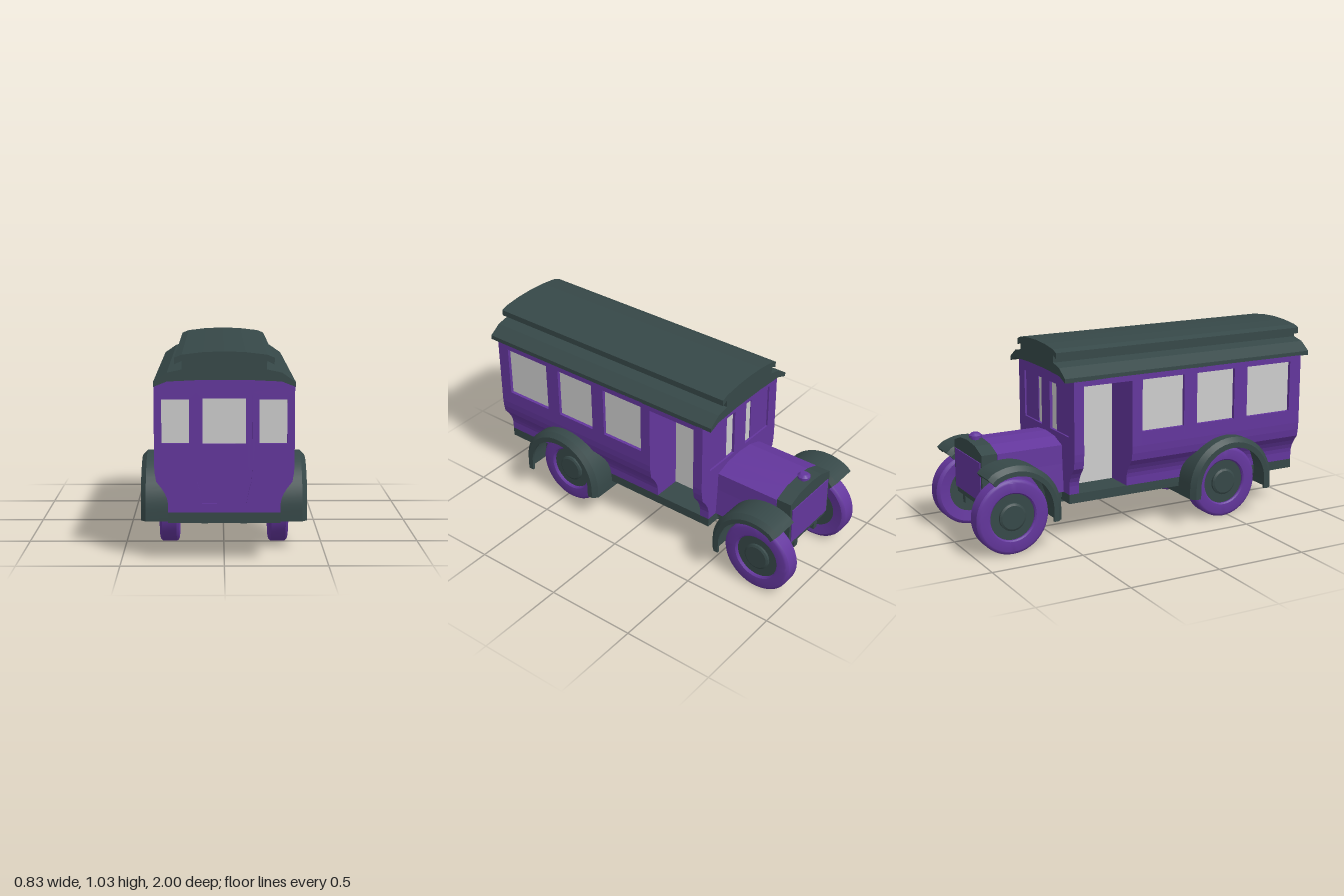
import * as THREE from 'three';
import { toCreasedNormals, mergeGeometries } from 'three/addons/utils/BufferGeometryUtils.js';

export function createModel() {
  const group = new THREE.Group();
  const mat = (name, color) => {
    const m = new THREE.MeshStandardMaterial({ color, side: THREE.DoubleSide });
    m.name = name;
    return m;
  };
  const purple = mat('purple paint', 0x63369c);
  const dark = mat('dark slate', 0x364848);
  const glass = mat('grey glass', 0xcccccc);

  const add = (name, geo, material) => {
    const mesh = new THREE.Mesh(geo, material);
    mesh.name = name;
    group.add(mesh);
    return mesh;
  };
  // Box given by its extents
  const box = (name, material, x0, x1, y0, y1, z0, z1) => {
    const g = new THREE.BoxGeometry(Math.abs(x1 - x0), y1 - y0, z1 - z0);
    g.translate((x0 + x1) / 2, (y0 + y1) / 2, (z0 + z1) / 2);
    return add(name, g, material);
  };
  const toPath = (pts, Type) => new Type(pts.map(([x, y]) => new THREE.Vector2(x, y)));
  // Prism with an x-y outline running from z0 to z1
  const prism = (pts, z0, z1, holes = []) => {
    const shape = toPath(pts, THREE.Shape);
    holes.forEach(h => shape.holes.push(toPath(h, THREE.Path)));
    const g = new THREE.ExtrudeGeometry(shape, { depth: z1 - z0, bevelEnabled: false });
    return g.translate(0, 0, z0);
  };
  // Full outline from its right half (bottom to top)
  const mirrored = half => [
    ...half, ...half.filter(p => p[0] > 0).reverse().map(([x, y]) => [-x, y])];
  const rect = (x0, x1, y0, y1) => [[x0, y0], [x1, y0], [x1, y1], [x0, y1]];

  // Body side profile, tucked in towards the floor
  const profile = [[0.27, 0.25], [0.27, 0.295], [0.274, 0.318], [0.284, 0.342],
    [0.3, 0.368], [0.325, 0.4], [0.332, 0.44], [0.335, 0.48], [0.335, 0.865]];
  const arch = [[0.27, 0.888], [0.1, 0.896], [0, 0.897]];
  const sideWall = (s, y0, y1, inset) => {
    const outer = profile.filter(([, y]) => y >= y0 && y <= y1);
    if (outer[0]?.[1] !== y0) outer.unshift([0.335, y0]);
    if (outer[outer.length - 1][1] !== y1) outer.push([0.335, y1]);
    const inner = outer.map(([x, y]) => [inset ?? x - 0.03, y]).reverse();
    return [...outer, ...inner].map(([x, y]) => [s * x, y]);
  };
  const windows = [[0.596, 0.88], [0.275, 0.513], [-0.06, 0.195]];
  const posts = [[0.88, 0.94], [0.513, 0.596], [0.195, 0.275]];
  for (const s of [1, -1]) {
    const parts = [];
    posts.forEach(([a, b]) => parts.push(prism(sideWall(s, 0.25, 0.865), a, b)));
    windows.forEach(([a, b]) => {
      parts.push(prism(sideWall(s, 0.25, 0.555), a, b));
      parts.push(prism(sideWall(s, 0.835, 0.865), a, b));
    });
    // Bulkheads either side of the open doorway, and its ceiling
    parts.push(prism(sideWall(s, 0.25, 0.865, 0.11), -0.12, -0.06));
    parts.push(prism(sideWall(s, 0.25, 0.865, 0.11), -0.45, -0.404));
    parts.push(prism(sideWall(s, 0.835, 0.865, 0.11), -0.404, -0.12));
    add('bodySide', mergeGeometries(parts), purple);
    box('sideGlass', glass, s * 0.307, s * 0.317, 0.54, 0.85, -0.08, 0.9);
    box('doorwayPanel', glass, s * 0.1, s * 0.11, 0.25, 0.84, -0.41, -0.11);
  }

  // End walls
  const endOutline = mirrored([...profile, ...arch]);
  const doorOutline = mirrored([[0.107, 0.296], [0.118, 0.36], [0.13, 0.4], [0.135, 0.48], [0.135, 0.83]]);
  add('rearWall', prism(endOutline, 0.925, 0.95, [doorOutline,
    rect(0.167, 0.3, 0.585, 0.797), rect(-0.3, -0.167, 0.585, 0.797)]), purple);
  add('rearDoor', prism(doorOutline, 0.915, 0.94, [rect(-0.103, 0.103, 0.583, 0.8)]), purple);
  box('rearGlass', glass, -0.305, 0.305, 0.57, 0.81, 0.915, 0.928);
  add('frontWall', prism(endOutline, -0.46, -0.435, [
    rect(0.05, 0.265, 0.56, 0.815), rect(-0.265, -0.05, 0.56, 0.815)]), purple);
  box('windscreenGlass', glass, -0.28, 0.28, 0.55, 0.825, -0.445, -0.435);

  // Roof with raised centre deck
  const upper = [[0.335, 0.862], [0.335, 0.885], [0.27, 0.93], [0.2, 0.945], [0.2, 0.985],
    [0.235, 0.968], [0.235, 1.0], [0.2, 1.014], [0.1, 1.026], [0, 1.03]];
  const under = [[-0.27, 0.888], [-0.1, 0.896], [0.1, 0.896], [0.27, 0.888]];
  add('roof', prism([...mirrored(upper), ...under], -0.51, 1), dark);

  // Floor, underframe and axles
  box('floor', dark, -0.27, 0.27, 0.2, 0.25, -0.46, 0.95);
  box('underframe', dark, -0.17, 0.17, 0.185, 0.21, -0.55, 0.86);
  box('frontFrame', dark, -0.185, 0.185, 0.215, 0.25, -0.9, -0.45);
  for (const s of [1, -1]) box('frameRail', dark, s * 0.08, s * 0.11, 0.175, 0.22, -0.9, 0.86);
  for (const z of [0.467, -0.803]) {
    const axle = new THREE.CylinderGeometry(0.02, 0.02, 0.5, 16).rotateZ(Math.PI / 2);
    add('axle', axle.translate(0, 0.2, z), dark);
  }

  // Bonnet, radiator and filler cap
  const bonnet = [[0.205, 0.25], [0.192, 0.4], [0.188, 0.5], [0.1, 0.53], [0, 0.538]];
  add('bonnet', prism(mirrored(bonnet), -0.825, -0.455), purple);
  const radiator = [[0.185, 0.25], [0.185, 0.502], [0.1, 0.533], [0, 0.542]];
  add('radiatorShell', prism(mirrored(radiator), -0.91, -0.825), dark);
  box('radiatorCore', purple, -0.17, 0.17, 0.252, 0.46, -0.915, -0.908);
  const cap = new THREE.LatheGeometry([[0, 0], [0.022, 0], [0.022, 0.012], [0.034, 0.014],
    [0.034, 0.026], [0.02, 0.038], [0, 0.038]].map(p => new THREE.Vector2(...p)), 24);
  add('fillerCap', toCreasedNormals(cap, 0.5).translate(0, 0.538, -0.865), purple);

  // Wheels: profile as radius and sideways distance
  const turned = (pts, s) => {
    const g = new THREE.LatheGeometry(pts.map(p => new THREE.Vector2(...p)), 48);
    return toCreasedNormals(g.rotateZ(-s * Math.PI / 2), 0.5);
  };
  const tyre = [[0.123, 0.235], [0.18, 0.227], [0.19, 0.231], [0.198, 0.24], [0.198, 0.312],
    [0.19, 0.321], [0.18, 0.325], [0.13, 0.322], [0.123, 0.315], [0.123, 0.235]];
  const hub = [[0, 0.235], [0.125, 0.235], [0.125, 0.306], [0.073, 0.306],
    [0.073, 0.318], [0.062, 0.324], [0, 0.324]];
  for (const z of [0.467, -0.802]) {
    for (const s of [1, -1]) {
      add('tyre', turned(tyre, s), purple).position.set(0, 0.198, z);
      add('hub', turned(hub, s), dark).position.set(0, 0.198, z);
    }
  }

  // Mudguards: a section of (x, offset) swept along a path in the z-y plane
  const sweep = (section, path, s) => {
    const sec = s > 0 ? section : [...section].reverse();
    const n = sec.length, pos = [], idx = [];
    path.forEach(([z, y], i) => {
      const p = path[Math.max(i - 1, 0)], q = path[Math.min(i + 1, path.length - 1)];
      const dz = q[0] - p[0], dy = q[1] - p[1], len = Math.hypot(dz, dy);
      sec.forEach(([x, o]) => pos.push(s * x, y - o * dz / len, z + o * dy / len));
      if (i === path.length - 1) return;
      for (let j = 0; j < n; j++) {
        const a = i * n + j, b = i * n + (j + 1) % n;
        idx.push(a, b, b + n, a, b + n, a + n);
      }
    });
    const caps = THREE.ShapeUtils.triangulateShape(sec.map(p => new THREE.Vector2(s * p[0], p[1])), []);
    const last = (path.length - 1) * n;
    caps.forEach(([a, b, c]) => idx.push(a, c, b, a + last, b + last, c + last));
    const g = new THREE.BufferGeometry();
    g.setAttribute('position', new THREE.Float32BufferAttribute(pos, 3));
    g.setIndex(idx);
    return toCreasedNormals(g, 0.45);
  };
  const arc = (cz, cy, r, end) => Array.from({ length: 25 }, (_, i) => {
    const a = end * i / 24;
    return [cz + r * Math.cos(a), cy + r * Math.sin(a)];
  });
  const rearSection = [[0.15, 0], [0.39, 0], [0.415, -0.025], [0.415, -0.055],
    [0.4, -0.055], [0.38, -0.025], [0.15, -0.025]];
  const frontSection = [[0.185, -0.025], [0.207, 0], [0.347, 0], [0.37, -0.025], [0.37, -0.05],
    [0.357, -0.05], [0.34, -0.025], [0.214, -0.025], [0.198, -0.05], [0.185, -0.05]];
  const rearPath = [[0.725, 0.155], ...arc(0.465, 0.21, 0.26, Math.PI), [0.205, 0.155]];
  const frontPath = [[-0.545, 0.155], ...arc(-0.802, 0.22, 0.257, 2.05), [-0.947, 0.425]];
  for (const s of [1, -1]) {
    add('rearMudguard', sweep(rearSection, rearPath, s), dark);
    add('frontMudguard', sweep(frontSection, frontPath, s), dark);
  }
  return group;
}
